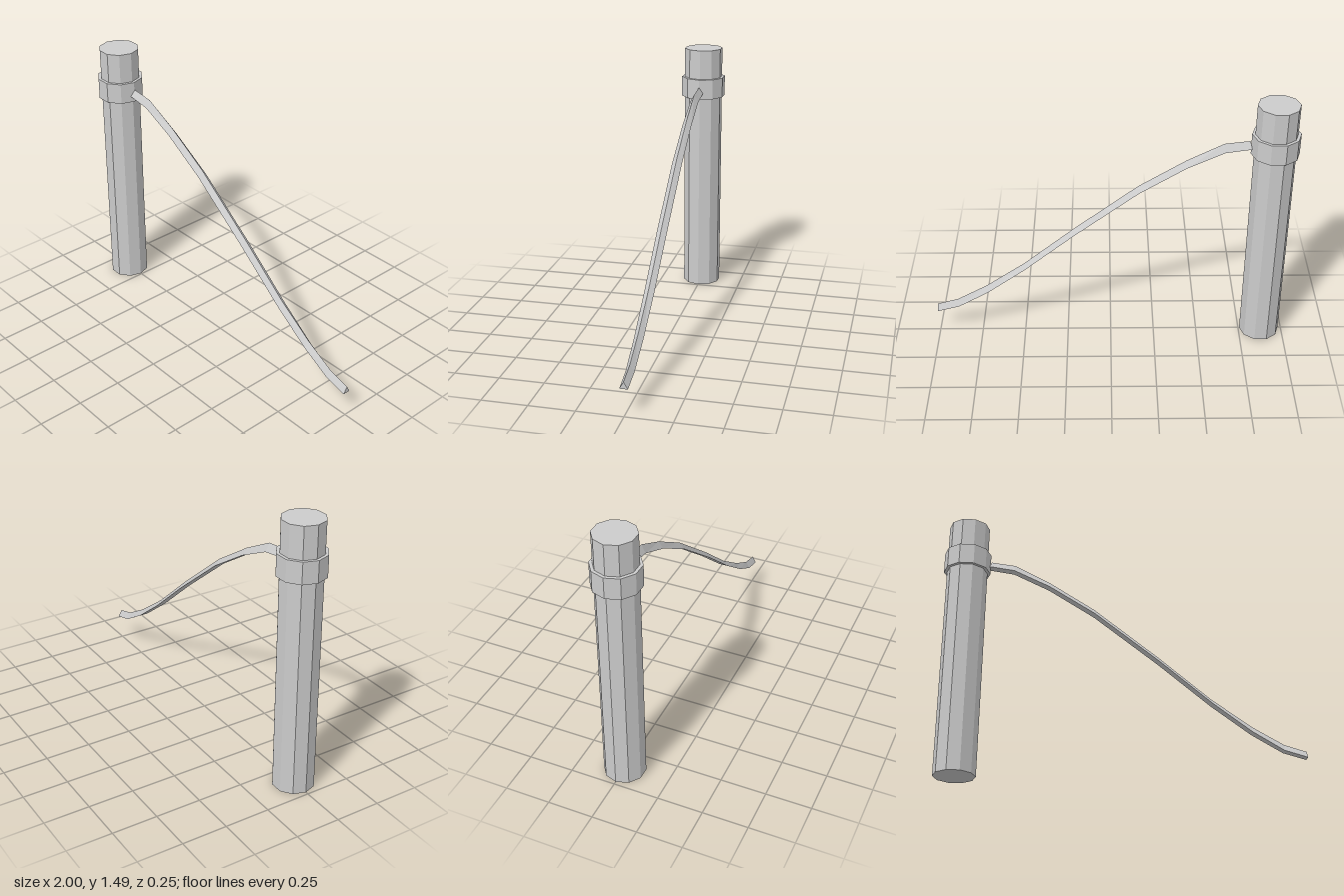
import * as THREE from 'three';

const material = new THREE.MeshStandardMaterial({ color: 0xcccccc, flatShading: true });

function addMesh(group, name, geometry) {
  const mesh = new THREE.Mesh(geometry, material);
  mesh.name = name;
  group.add(mesh);
  return mesh;
}

// Ten-sided upright drum with a corner pointing along x
function drum(radius, bottom, top) {
  return new THREE.CylinderGeometry(radius, radius, top - bottom, 10)
    .rotateY(Math.PI / 10)
    .translate(-0.87, (bottom + top) / 2, 0);
}

// Three-sided rope: ridge on top, flat underside, lofted through sections
function ropeGeometry(sections) {
  const positions = [];
  const index = [];
  for (const [x, top, lowX, low, half] of sections) {
    positions.push(x, top, 0, lowX, low, half, lowX, low, -half);
  }
  const last = (sections.length - 1) * 3;
  for (let i = 0; i < last; i += 3) {
    for (let j = 0; j < 3; j++) {
      const a = i + j, b = i + (j + 1) % 3;
      index.push(a, b, a + 3, b, b + 3, a + 3);
    }
  }
  index.push(0, 2, 1, last, last + 1, last + 2);
  const geometry = new THREE.BufferGeometry();
  geometry.setAttribute('position', new THREE.Float32BufferAttribute(positions, 3));
  geometry.setIndex(index);
  const flat = geometry.toNonIndexed();
  flat.computeVertexNormals();
  return flat;
}

export function createModel() {
  const model = new THREE.Group();
  model.name = 'ropePost';

  addMesh(model, 'post', drum(0.113, 0, 1.49));
  addMesh(model, 'collar', drum(0.13, 1.2, 1.318));

  // Sections: ridge x, ridge y, underside x, underside y, half width
  addMesh(model, 'rope', ropeGeometry([
    [-0.735, 1.275, -0.745, 1.236, 0.023],
    [-0.6, 1.259, -0.605, 1.216, 0.024],
    [-0.405, 1.158, -0.405, 1.122, 0.026],
    [-0.15, 0.997, -0.15, 0.963, 0.028],
    [0.205, 0.717, 0.205, 0.686, 0.028],
    [0.49, 0.478, 0.49, 0.448, 0.027],
    [0.71, 0.322, 0.705, 0.288, 0.025],
    [0.88, 0.225, 0.875, 0.187, 0.023],
    [1, 0.19, 1, 0.152, 0.022],
  ]));

  return model;
}
